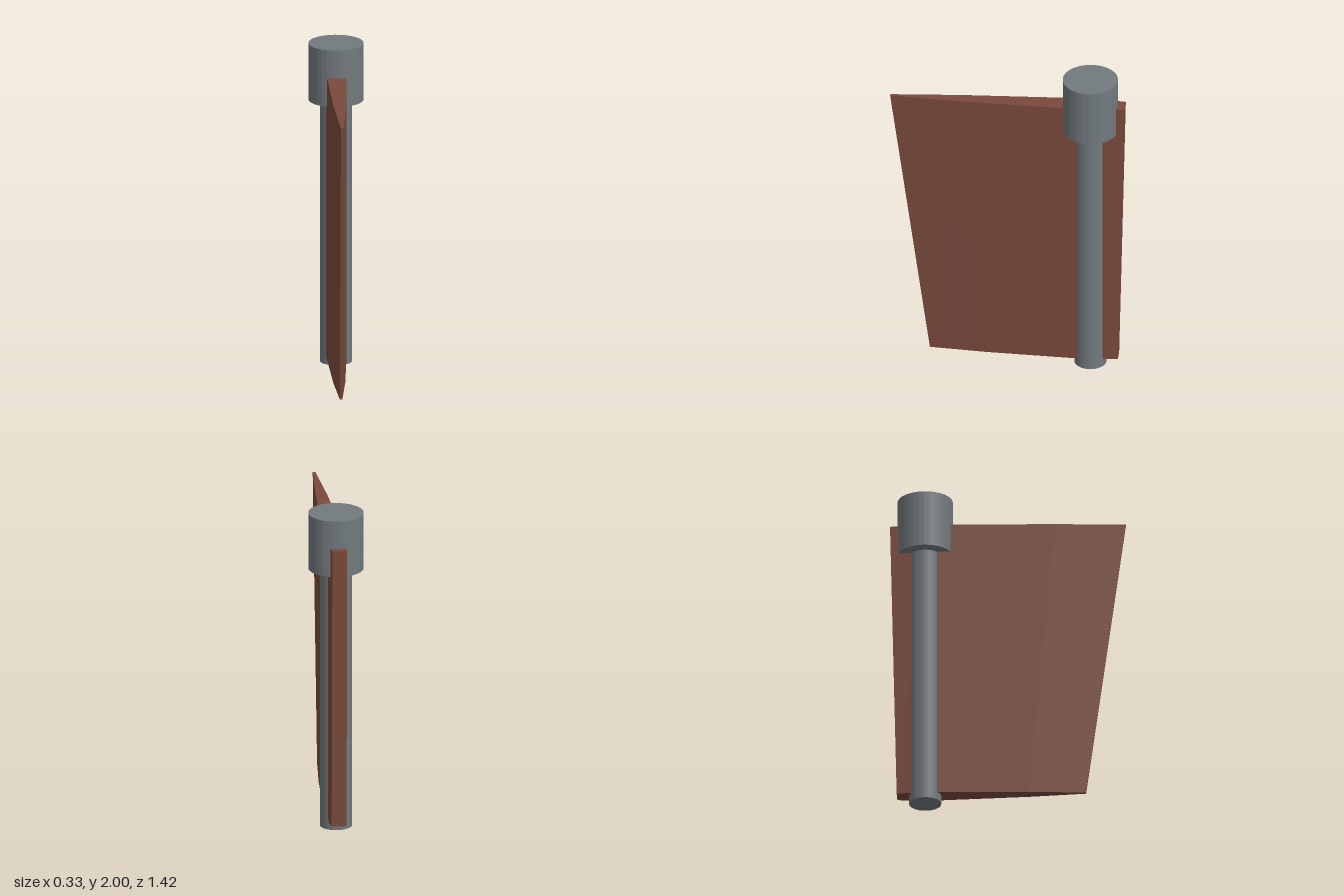
import * as THREE from 'three';

const STOCK_Z = -0.5;
const steel = new THREE.MeshStandardMaterial({ color: 0x727a7e, flatShading: true });
const painted = new THREE.MeshStandardMaterial({ color: 0x7a4a3c, flatShading: true });

// Upright cylinder on the rudder axis
function post(name, radius, y0, y1) {
  const mesh = new THREE.Mesh(new THREE.CylinderGeometry(radius, radius, y1 - y0, 32), steel);
  mesh.name = name;
  mesh.position.set(0, (y0 + y1) / 2, STOCK_Z);
  return mesh;
}

// Tapered foil: [fraction of chord from the leading edge, half thickness]
function bladeGeometry() {
  const foil = [[0, 0.045], [0.15, 0.065], [0.7, 0.036], [1, 0.008]];
  const outline = [...foil, ...foil.map(([f, t]) => [f, -t]).reverse()];
  const ends = [
    { y: 0.05, lead: -0.67, trail: 0.47 },
    { y: 1.825, lead: -0.71, trail: 0.71 },
  ];
  const positions = [];
  for (const { y, lead, trail } of ends) {
    for (const [f, x] of outline) positions.push(x, y, lead + (trail - lead) * f);
  }
  const n = outline.length;
  const index = [];
  // Side walls
  for (let i = 0; i < n; i++) {
    const j = (i + 1) % n;
    index.push(i, n + i, j, j, n + i, n + j);
  }
  // Bottom and top caps
  for (let i = 0; i < foil.length - 1; i++) {
    const a = i, b = i + 1, c = n - 2 - i, d = n - 1 - i;
    index.push(a, b, c, a, c, d);
    index.push(n + a, n + c, n + b, n + a, n + d, n + c);
  }
  const geometry = new THREE.BufferGeometry();
  geometry.setAttribute('position', new THREE.Float32BufferAttribute(positions, 3));
  geometry.setIndex(index);
  const flat = geometry.toNonIndexed();
  flat.computeVertexNormals();
  return flat;
}

export function createModel() {
  const group = new THREE.Group();
  group.name = 'rudder';

  const blade = new THREE.Mesh(bladeGeometry(), painted);
  blade.name = 'blade';

  group.add(blade, post('stock', 0.097, 0, 1.8), post('stockHead', 0.167, 1.645, 2));
  return group;
}
